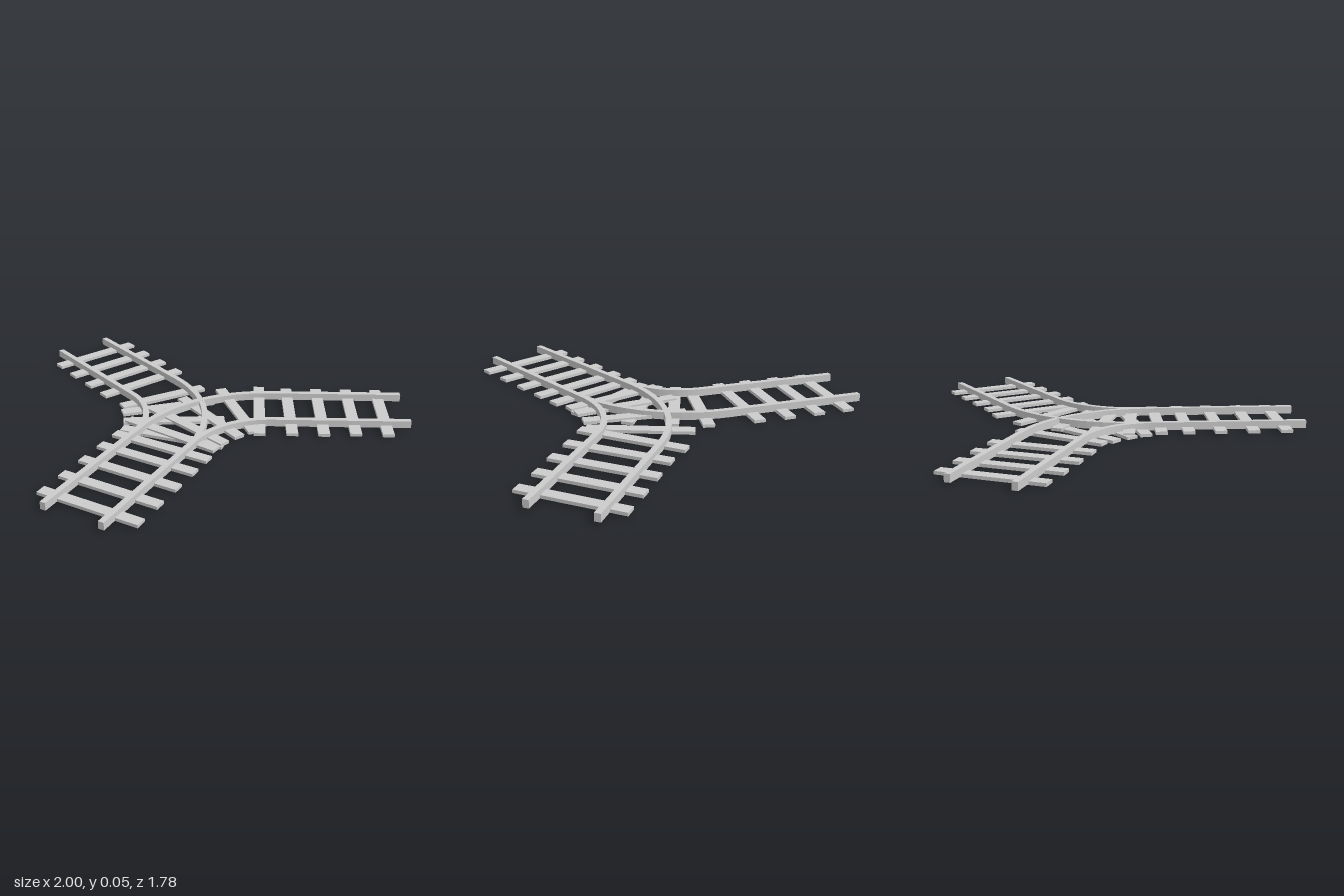
import * as THREE from 'three';

const mat = new THREE.MeshStandardMaterial({ color: 0xcccccc, side: THREE.DoubleSide });
const RAIL_W = 0.028, RAIL_BASE = 0.01, RAIL_TOP = 0.046, TIE_W = 0.056;

// Rail in plan (x, z): straight, circular bend around a corner, straight
function makeRail(name, start, corner, end, tangent, drop) {
  const [s, c, e] = [start, corner, end].map(p => new THREE.Vector2(...p));
  const toward = (p, d) => c.clone().add(p.clone().sub(c).normalize().multiplyScalar(d));
  const a = toward(s, tangent), b = toward(e, tangent);
  const bend = new THREE.CubicBezierCurve(a, toward(s, tangent * 0.39), toward(e, tangent * 0.39), b);
  const n = 18, left = [], right = [];
  const add = (p, t) => {
    const off = new THREE.Vector2(-t.y, t.x).multiplyScalar(RAIL_W / 2);
    left.push(p.clone().add(off));
    right.unshift(p.clone().sub(off));
  };
  add(s, c.clone().sub(s).normalize());
  for (let i = 0; i <= n; i++) add(bend.getPoint(i / n), bend.getTangent(i / n));
  add(e, e.clone().sub(c).normalize());
  const outline = [...left, ...right].map(p => new THREE.Vector2(p.x, -p.y));
  const geo = new THREE.ExtrudeGeometry(new THREE.Shape(outline), {
    depth: RAIL_TOP - RAIL_BASE, bevelEnabled: false,
  });
  geo.rotateX(-Math.PI / 2);
  const mesh = new THREE.Mesh(geo, mat);
  mesh.name = name;
  mesh.position.y = RAIL_BASE - drop;
  return mesh;
}

// Sleeper board between two plan points (x, z)
function makeTie(name, [x1, z1, x2, z2], base) {
  const h = 0.015;
  const mesh = new THREE.Mesh(new THREE.BoxGeometry(Math.hypot(x2 - x1, z2 - z1), h, TIE_W), mat);
  mesh.position.set((x1 + x2) / 2, base + h / 2, (z1 + z2) / 2);
  mesh.rotation.y = -Math.atan2(z2 - z1, x2 - x1);
  mesh.name = name;
  return mesh;
}

export function createModel() {
  const model = new THREE.Group();
  model.name = 'railJunction';

  // Four rails, two per route
  const rails = new THREE.Group();
  rails.name = 'rails';
  rails.add(
    makeRail('rightRouteOuterRail', [-0.12, 0.89], [-0.12, -0.33], [0.855, -0.85], 0.43, 0),
    makeRail('rightRouteInnerRail', [0.172, 0.89], [0.172, -0.155], [0.993, -0.592], 0.26, 0),
    makeRail('leftRouteOuterRail', [0.172, 0.89], [0.172, -0.28], [-0.877, -0.72], 0.45, 0.001),
    makeRail('leftRouteInnerRail', [-0.12, 0.89], [-0.12, -0.083], [-0.994, -0.452], 0.245, 0.001),
  );
  model.add(rails);

  // Sleepers of each leg
  const ties = new THREE.Group();
  ties.name = 'sleepers';
  for (const z of [0.19, 0.32, 0.47, 0.625, 0.78]) {
    ties.add(makeTie('stemSleeper', [-0.215, z, 0.295, z], 0.008));
  }
  const rightLeg = [
    [0.715, -0.875, 0.935, -0.44], [0.578, -0.805, 0.797, -0.37], [0.44, -0.732, 0.665, -0.292],
    [0.303, -0.66, 0.53, -0.222], [0.17, -0.61, 0.393, -0.145], [0.005, -0.49, 0.36, -0.15],
    [-0.12, -0.3, 0.32, -0.075], [-0.2, -0.13, 0.29, 0.018], [-0.235, 0.035, 0.28, 0.088],
  ];
  const leftLeg = [
    [-0.727, -0.777, -0.915, -0.322], [-0.587, -0.718, -0.777, -0.255], [-0.446, -0.66, -0.635, -0.193],
    [-0.307, -0.597, -0.5, -0.135], [-0.095, -0.478, -0.35, -0.083], [0.025, -0.365, -0.31, -0.025],
    [0.17, -0.212, -0.255, 0.05], [0.285, 0.025, -0.22, 0.118],
  ];
  rightLeg.forEach(t => ties.add(makeTie('rightLegSleeper', t, 0.008)));
  leftLeg.forEach((t, i) => ties.add(makeTie('leftLegSleeper', t, i < 4 ? 0.004 : 0)));
  model.add(ties);
  return model;
}
